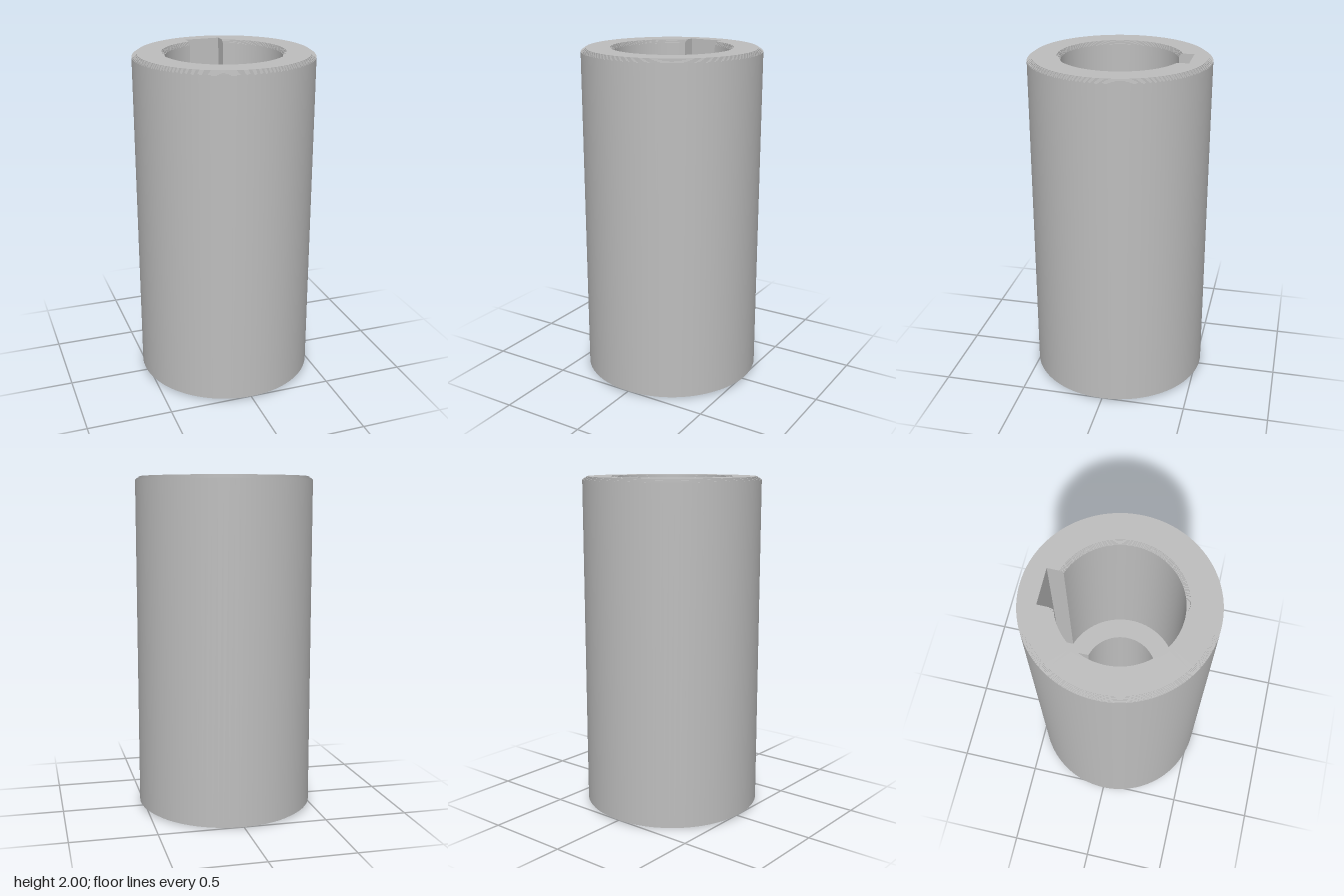
import * as THREE from 'three';
import { toCreasedNormals } from 'three/addons/utils/BufferGeometryUtils.js';

const ARC = 96;      // segments around the round part
const KEY = 10;      // segments around the keyway
const STEPS = 5;     // terraces in each chamfer
const TAPER = 30;    // terraces in the tapered bore

// Plain circle, with points spaced to pair up with the bore sections
function ring(r, y) {
  const gap = 0.296, pts = [];
  for (let i = 0; i < ARC + KEY; i++) {
    const t = i < ARC
      ? gap + (2 * Math.PI - 2 * gap) * i / ARC
      : 2 * Math.PI - gap + 2 * gap * (i - ARC) / KEY;
    pts.push([r * Math.sin(t), y, -r * Math.cos(t)]);
  }
  return pts;
}

// Bore section: circle of radius r with a keyway of half width w reaching z = -d
function bore(r, w, d, y) {
  const a = Math.asin(w / r), pts = [];
  for (let i = 0; i <= ARC; i++) {
    const t = a + (2 * Math.PI - 2 * a) * i / ARC;
    pts.push([r * Math.sin(t), y, -r * Math.cos(t)]);
  }
  for (let i = 0; i <= KEY - 2; i++) pts.push([-w + 2 * w * i / (KEY - 2), y, -d]);
  return pts;
}

// Joins closed sections one after another, the last back to the first
function loft(loops) {
  const n = loops[0].length, index = [];
  for (let k = 0; k < loops.length; k++) {
    const next = (k + 1) % loops.length;
    for (let j = 0; j < n; j++) {
      const j2 = (j + 1) % n;
      const a = k * n + j, b = k * n + j2, c = next * n + j2, d = next * n + j;
      index.push(b, a, d, b, d, c);
    }
  }
  const g = new THREE.BufferGeometry();
  g.setAttribute('position', new THREE.Float32BufferAttribute(loops.flat(2), 3));
  g.setIndex(index);
  return toCreasedNormals(g, 0.6);
}

export function createModel() {
  const steel = new THREE.MeshStandardMaterial({ color: 0xbdbdbd });
  steel.name = 'steel grey';
  const loops = [];

  // Adds terraces: section(t, y) is drawn at the start and end height of each step
  const terrace = (count, y0, y1, section) => {
    for (let i = 0; i < count; i++) {
      const t = i / (count - 1);
      loops.push(section(t, y0 + (y1 - y0) * i / count));
      loops.push(section(t, y0 + (y1 - y0) * (i + 1) / count));
    }
  };
  const mix = THREE.MathUtils.lerp;

  // Outer wall with chamfered ends, going up
  terrace(STEPS, 0, 0.02, (t, y) => ring(mix(0.5, 0.524, t), y));
  loops.push(ring(0.527, 0.02), ring(0.527, 1.98));
  terrace(STEPS, 1.98, 2, (t, y) => ring(mix(0.524, 0.5, t), y));

  // Wide upper bore, going down to the shoulder
  terrace(STEPS, 2, 1.98, (t, y) => bore(mix(0.358, 0.341, t), 0.105, 0.41, y));
  loops.push(bore(0.338, 0.105, 0.41, 1.98), bore(0.338, 0.105, 0.41, 1));

  // Narrow lower bore, widening towards the bottom
  terrace(TAPER, 1, 0.02, (t, y) => bore(mix(0.218, 0.248, t), 0.053, mix(0.335, 0.37, t), y));
  terrace(STEPS, 0.02, 0, (t, y) => bore(mix(0.251, 0.27, t), 0.053, 0.372, y));

  const sleeve = new THREE.Mesh(loft(loops), steel);
  sleeve.name = 'couplingSleeve';
  const group = new THREE.Group();
  group.name = 'shaftCoupling';
  group.add(sleeve);
  return group;
}
